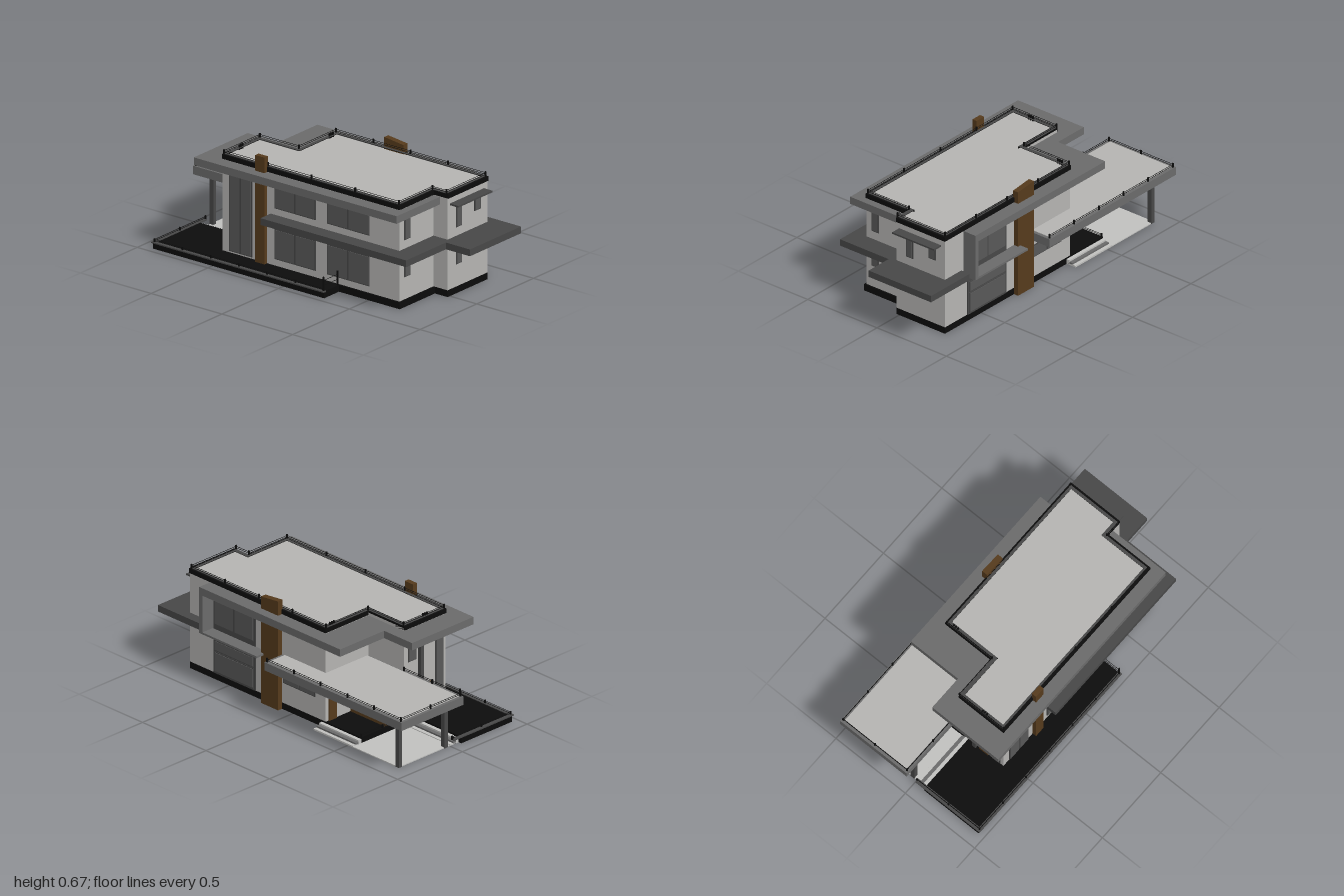
import * as THREE from 'three';

const mat = (name, color) => Object.assign(new THREE.MeshStandardMaterial({ color }), { name });

export function createModel() {
  const house = new THREE.Group();
  house.name = 'house';
  const wall = mat('wall', 0xb4b3b1), slabGrey = mat('slabGrey', 0x6a6a6a), darkGrey = mat('darkGrey', 0x474747);
  const black = mat('black', 0x0c0c0c), wood = mat('wood', 0x553a1c), paving = mat('paving', 0xc0c0be);
  const glass = mat('glass', 0x585858);

  const add = (name, geo, m, parent = house) => {
    const mesh = new THREE.Mesh(geo, m);
    mesh.name = name;
    parent.add(mesh);
    return mesh;
  };
  // box given by its limits on each axis
  const box = (name, m, x0, x1, y0, y1, z0, z1, parent) => {
    const g = new THREE.BoxGeometry(x1 - x0, y1 - y0, z1 - z0);
    g.translate((x0 + x1) / 2, (y0 + y1) / 2, (z0 + z1) / 2);
    return add(name, g, m, parent);
  };
  // plan outline [x, z] raised from y0 to y1, with an optional hole
  const toPoints = (pts) => pts.map(([x, z]) => new THREE.Vector2(x, -z));
  const plan = (name, m, pts, y0, y1, hole) => {
    const shape = new THREE.Shape(toPoints(pts));
    if (hole) shape.holes.push(new THREE.Path(toPoints(hole)));
    const g = new THREE.ExtrudeGeometry(shape, { depth: y1 - y0, bevelEnabled: false });
    g.rotateX(-Math.PI / 2).translate(0, y0, 0);
    return add(name, g, m);
  };
  const rect = (x0, x1, z0, z1) => [[x0, z0], [x1, z0], [x1, z1], [x0, z1]];

  // framed window on a wall facing axis 'x' or 'z'; a0..a1 runs along the wall
  const windowOn = (name, axis, sign, at, a0, a1, y0, y1, panes = 1) => {
    const g = new THREE.Group();
    g.name = name;
    house.add(g);
    const plate = (n, m, p0, p1, q0, q1, depth) => {
      const lo = Math.min(at, at + sign * depth), hi = Math.max(at, at + sign * depth);
      if (axis === 'z') box(n, m, p0, p1, q0, q1, lo, hi, g);
      else box(n, m, lo, hi, q0, q1, p0, p1, g);
    };
    plate('windowFrame', darkGrey, a0, a1, y0, y1, 0.005);
    const w = (a1 - a0) / panes;
    for (let i = 0; i < panes; i++)
      plate('windowPane', glass, a0 + i * w + 0.006, a0 + (i + 1) * w - 0.006, y0 + 0.006, y1 - 0.006, 0.008);
  };

  // posts and cables following a path of [x, z] points
  const railing = (name, path, y, h, spacing) => {
    const g = new THREE.Group();
    g.name = name;
    house.add(g);
    for (let i = 0; i < path.length - 1; i++) {
      const [ax, az] = path[i], [bx, bz] = path[i + 1];
      const len = Math.hypot(bx - ax, bz - az), n = Math.max(1, Math.round(len / spacing));
      for (let k = 0; k <= n; k++) {
        const x = ax + (bx - ax) * k / n, z = az + (bz - az) * k / n;
        box('railPost', black, x - 0.004, x + 0.004, y, y + h, z - 0.004, z + 0.004, g);
      }
      for (const f of [0.4, 0.75]) {
        const c = y + h * f;
        box('railCable', black, Math.min(ax, bx) - 0.001, Math.max(ax, bx) + 0.001, c - 0.001, c + 0.001,
          Math.min(az, bz) - 0.001, Math.max(az, bz) + 0.001, g);
      }
    }
  };

  // plinth and terrace
  plan('plinth', black, [[-0.46, -0.92], [-0.07, -0.92], [-0.07, -0.54], [0.33, -0.54], [0.33, 0.81],
    [-0.02, 0.81], [-0.02, 0.72], [-0.33, 0.72], [-0.33, 0.29], [-0.46, 0.29]], 0, 0.04);
  box('terraceEdge', darkGrey, -0.472, -0.45, 0.036, 0.043, -0.925, 0.295);
  box('terraceBackEdge', darkGrey, -0.472, -0.01, 0.036, 0.043, -0.925, -0.9);
  railing('terraceFrontRail', [[-0.46, 0.285], [-0.335, 0.285]], 0.04, 0.085, 0.125);
  railing('terraceLowRail', [[-0.46, 0.285], [-0.46, -0.91], [-0.01, -0.91]], 0.04, 0.022, 0.2);
  railing('porchLowRail', [[0.0, -0.535], [0.325, -0.535]], 0.04, 0.022, 0.16);

  // carport floor, steps and timber deck
  box('carportFloor', paving, 0.0, 0.395, 0, 0.006, -0.9, -0.54);
  for (let i = 0; i < 3; i++) {
    const h = 0.01 * (3 - i);
    box('porchStep', i % 2 ? slabGrey : paving, 0.33, 0.352 + i * 0.0215, 0, h, -0.54, -0.23);
    box('terraceStep', i % 2 ? slabGrey : paving, -0.07, -0.047 + i * 0.023, 0, h, -0.9, -0.54);
  }
  box('timberDeck', wood, 0.0, 0.14, 0.04, 0.058, -0.53, -0.26);

  // walls, parapet and roof
  const outline = [[-0.32, -0.54], [0, -0.54], [0, -0.26], [0.33, -0.26], [0.33, 0.81], [-0.02, 0.81],
    [-0.02, 0.71], [-0.32, 0.71]];
  const inner = [[-0.297, -0.515], [-0.023, -0.515], [-0.023, -0.235], [0.307, -0.235], [0.307, 0.785],
    [0.005, 0.785], [0.005, 0.685], [-0.297, 0.685]];
  plan('walls', wall, outline, 0.04, 0.597);
  plan('roofSurface', wall, inner, 0.597, 0.6);
  plan('parapet', black, outline.map(([x, z]) => [x * 1.012, z * 1.006]), 0.583, 0.61, inner);
  plan('parapetCap', darkGrey, outline.map(([x, z]) => [x * 0.98, z * 0.99]), 0.61, 0.613, inner);
  railing('roofRail', [...outline, outline[0]].map(([x, z]) => [x * 0.985, z * 0.99]), 0.61, 0.027, 0.3);
  for (let i = 0; i < 3; i++) {
    box('roofVent', black, -0.195 + i * 0.015, -0.187 + i * 0.015, 0.6, 0.63, -0.53, -0.522);
    box('roofVent', black, 0.25 + i * 0.015, 0.258 + i * 0.015, 0.6, 0.63, -0.25, -0.242);
  }

  // overhanging eaves
  plan('upperEaves', slabGrey, [[-0.4, -0.68], [0.075, -0.68], [0.075, -0.46], [0.415, -0.46], [0.415, 0.65],
    [-0.02, 0.65], [-0.02, 0.755], [-0.4, 0.755]], 0.535, 0.58);
  plan('lowerEaves', darkGrey, [[-0.41, -0.2], [-0.1, -0.2], [-0.1, 0.67], [0.39, 0.67], [0.39, 1], [-0.06, 1],
    [-0.06, 0.83], [-0.41, 0.83]], 0.3, 0.34);
  box('frontAwning', darkGrey, 0.0, 0.3, 0.538, 0.548, 0.8, 0.87);

  // framed bay on the side
  box('baySidePanel', slabGrey, 0.32, 0.415, 0.298, 0.54, 0.625, 0.65);
  box('baySill', slabGrey, 0.32, 0.415, 0.298, 0.31, 0.2, 0.65);
  box('bayBacking', darkGrey, 0.33, 0.335, 0.04, 0.535, 0.29, 0.62);
  windowOn('bayWindow', 'x', 1, 0.333, 0.3, 0.61, 0.34, 0.495, 2);
  windowOn('bayLowerWindow', 'x', 1, 0.333, 0.3, 0.61, 0.18, 0.245, 1);
  windowOn('bayLowerPanel', 'x', 1, 0.333, 0.3, 0.61, 0.05, 0.175, 1);

  // timber piers, the larger one with a sloping top
  const pier = box('sidePier', wood, 0.325, 0.36, 0, 0.652, 0.085, 0.22);
  const p = pier.geometry.attributes.position;
  for (let i = 0; i < p.count; i++) if (p.getY(i) > 0.5 && p.getZ(i) < 0.1) p.setY(i, 0.667);
  pier.geometry.computeVertexNormals();
  box('rearPier', wood, -0.345, -0.315, 0.0, 0.672, -0.29, -0.225);

  // carport roof and posts
  box('carportRoof', slabGrey, -0.01, 0.47, 0.285, 0.335, -1, 0.08);
  box('carportRoofSurface', wall, 0.008, 0.452, 0.335, 0.338, -0.982, 0.062);
  railing('carportRail', [[0.0, -0.54], [0.0, -0.985], [0.46, -0.985], [0.46, 0.07]], 0.335, 0.026, 0.2);
  for (const x of [0.383, 0.03]) box('carportPost', darkGrey, x - 0.013, x + 0.013, 0, 0.29, -0.903, -0.877);

  // front windows
  for (const [x0, x1, z, tall] of [[-0.28, -0.23, 0.71, 1], [0.052, 0.102, 0.81, 1], [0.214, 0.266, 0.81, 0]]) {
    windowOn('frontUpperWindow', 'z', 1, z, x0, x1, tall ? 0.392 : 0.44, 0.521);
    windowOn('frontLowerWindow', 'z', 1, z, x0, x1, tall ? 0.173 : 0.223, 0.284);
  }

  // side windows
  windowOn('sideWindow', 'x', 1, 0.33, -0.18, 0.07, 0.165, 0.24, 2);
  windowOn('rearSideWindow', 'x', -1, -0.32, -0.49, -0.33, 0.05, 0.53, 2);
  for (const [z0, z1] of [[-0.17, 0.12], [0.2, 0.5]]) {
    windowOn('longLowerWindow', 'x', -1, -0.32, z0, z1, 0.08, 0.26, 2);
    windowOn('longUpperWindow', 'x', -1, -0.32, z0, z1, 0.38, 0.51, 2);
  }

  // rear windows, column and doors
  for (const [y0, y1] of [[0.15, 0.24], [0.38, 0.5]]) windowOn('rearWindow', 'z', -1, -0.54, -0.09, -0.03, y0, y1);
  box('rearColumn', darkGrey, -0.135, -0.11, 0.04, 0.535, -0.56, -0.54);
  box('rearDoor', wood, -0.215, -0.15, 0.04, 0.21, -0.548, -0.54);
  windowOn('stairWindow', 'z', -1, -0.54, -0.3, -0.24, 0.05, 0.53);
  box('porchDoor', wood, 0.25, 0.31, 0.04, 0.21, -0.268, -0.26);
  windowOn('porchWindow', 'z', -1, -0.26, 0.06, 0.21, 0.12, 0.24, 2);

  return house;
}
